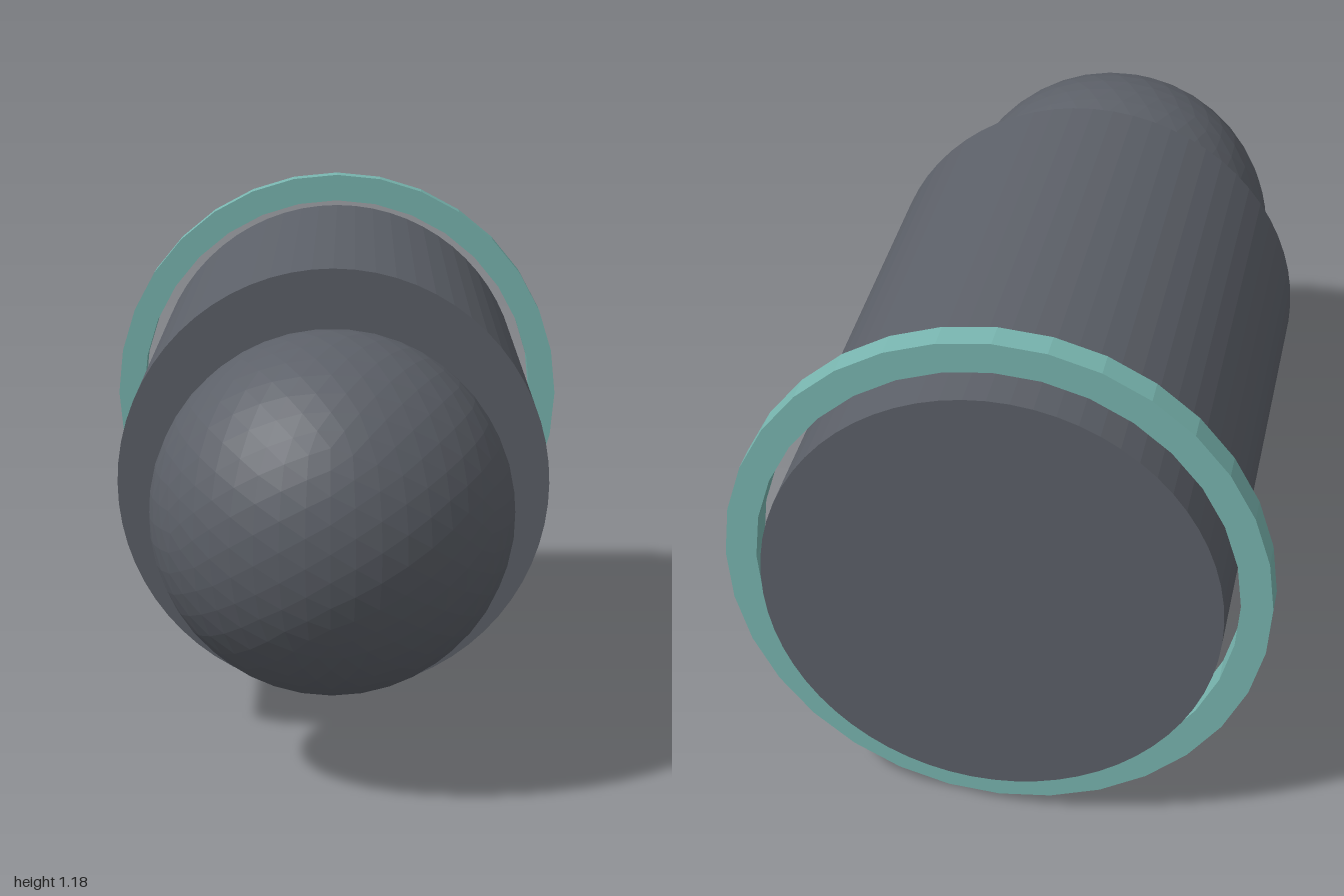
import * as THREE from 'three';

const AXIS_Y = 0.595; // height of the shared axis

export function createModel() {
  const model = new THREE.Group();
  const dark = new THREE.MeshStandardMaterial({ color: 0x5c6068, flatShading: true });
  const teal = new THREE.MeshStandardMaterial({ color: 0x78b5af, flatShading: true });

  const add = (name, geometry, material, z) => {
    const mesh = new THREE.Mesh(geometry, material);
    mesh.name = name;
    mesh.position.set(0, AXIS_Y, z);
    model.add(mesh);
  };

  // Main barrel lying along z
  add('body', new THREE.CylinderGeometry(0.495, 0.495, 1.3, 64).rotateX(Math.PI / 2), dark, -0.35);

  // Faceted ball sunk slightly into the front of the barrel
  add('frontBall', new THREE.IcosahedronGeometry(0.4, 7), dark, 0.6);

  // Loose square-section ring round the rear end
  const [inner, outer, half] = [0.522, 0.59, 0.033];
  const section = [[inner, -half], [outer, -half], [outer, half], [inner, half], [inner, -half]]
    .map(([r, h]) => new THREE.Vector2(r, h));
  add('rearRing', new THREE.LatheGeometry(section, 32).rotateX(Math.PI / 2), teal, -0.903);

  return model;
}
